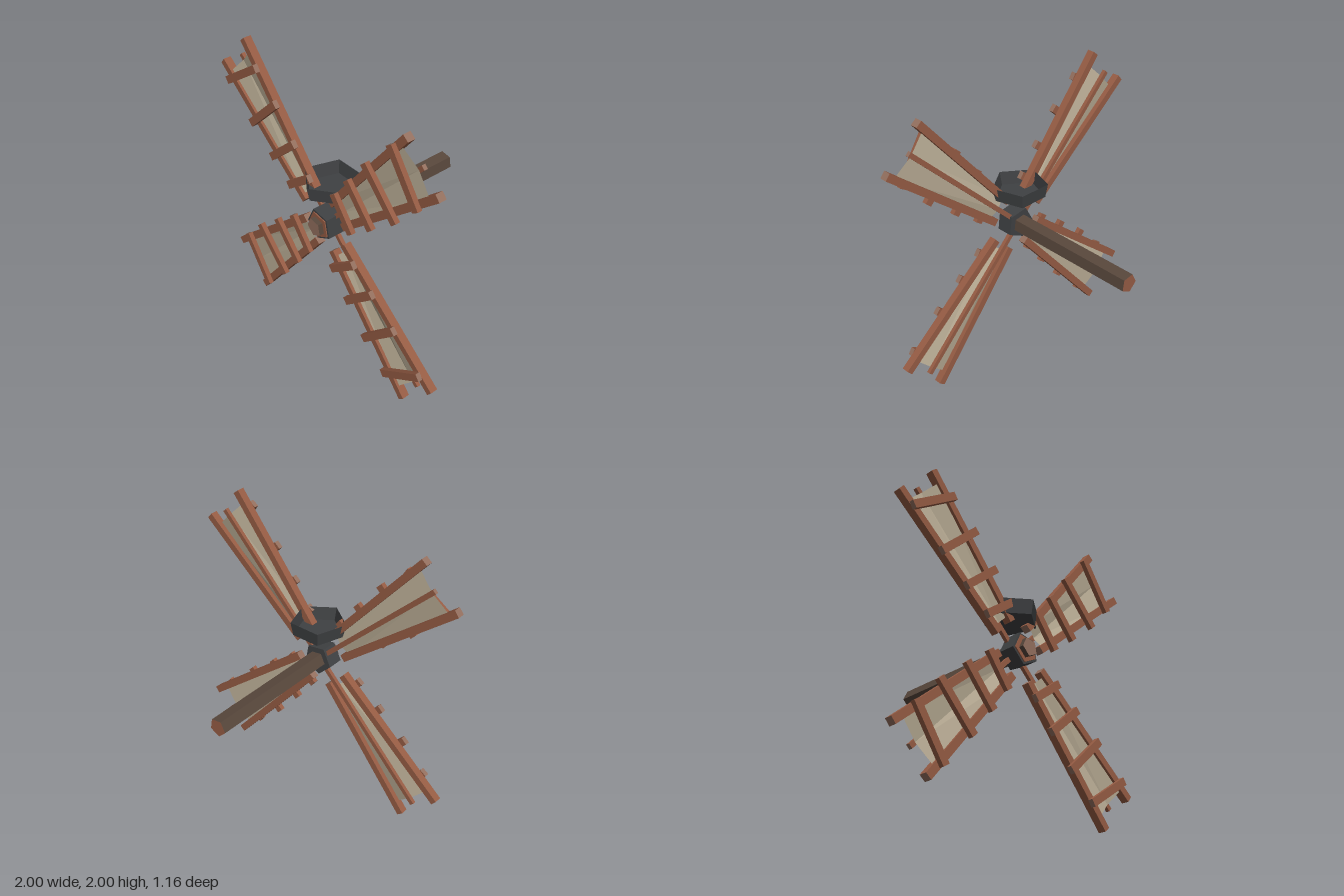
import * as THREE from 'three';

const mat = (name, color, side = THREE.FrontSide) => {
  const m = new THREE.MeshStandardMaterial({ color, side, flatShading: true });
  m.name = name;
  return m;
};

export function createModel() {
  const wood = mat('wood', 0x965c44);
  const endGrain = mat('end grain', 0x94705f);
  const darkWood = mat('dark wood', 0x58473c);
  const iron = mat('iron', 0x3f4143, THREE.DoubleSide);
  const cloth = mat('cloth', 0xbdb098, THREE.DoubleSide);

  const model = new THREE.Group();
  model.name = 'windmillSails';

  const add = (parent, name, geometry, material) => {
    const mesh = new THREE.Mesh(geometry, material);
    mesh.name = name;
    parent.add(mesh);
    return mesh;
  };

  // Straight timber between two points in the sail plane
  const plank = (parent, name, [x0, y0], [x1, y1], width, z0, z1) => {
    const length = Math.hypot(x1 - x0, y1 - y0);
    const box = new THREE.BoxGeometry(length, width, z1 - z0);
    const mesh = add(parent, name, box, [endGrain, endGrain, wood, wood, wood, wood]);
    mesh.position.set((x0 + x1) / 2, (y0 + y1) / 2, (z0 + z1) / 2);
    mesh.rotation.z = Math.atan2(y1 - y0, x1 - x0);
  };

  // Five-sided bar lying along z at the axle height
  const pentagonBar = (name, radius, z0, z1, material) => {
    const g = new THREE.CylinderGeometry(radius, radius, z1 - z0, 5, 1, false, Math.PI * 0.75);
    g.rotateX(Math.PI / 2);
    add(model, name, g, material).position.set(0, 1, (z0 + z1) / 2);
  };
  pentagonBar('axle', 0.063, -0.58, 0.545, [darkWood, endGrain, wood]);
  pentagonBar('hubRim', 0.11, 0.39, 0.505, iron);
  pentagonBar('hubFace', 0.094, 0.4, 0.512, wood);

  // Open five-sided iron bowl above the hub
  const bowl = new THREE.Group();
  bowl.name = 'bowl';
  bowl.position.set(0, 1.267, 0.394);
  model.add(bowl);
  add(bowl, 'bowlWall', new THREE.CylinderGeometry(0.19, 0.171, 0.096, 5, 1, true), iron);
  const floor = new THREE.CylinderGeometry(0.171, 0.171, 0.006, 5);
  add(bowl, 'bowlFloor', floor, iron).position.y = -0.045;

  // Cloth: two panels folded back along the central spar
  const clothGeometry = () => {
    const points = [];
    for (const [u, v] of [[0.22, 0.085], [1.13, 0.165]]) {
      points.push(u, v, 0.458, u, 0, 0.432, u, -v, 0.458);
    }
    const indexed = new THREE.BufferGeometry();
    indexed.setAttribute('position', new THREE.Float32BufferAttribute(points, 3));
    indexed.setIndex([0, 1, 4, 0, 4, 3, 1, 2, 5, 1, 5, 4]);
    const g = indexed.toNonIndexed();
    g.computeVertexNormals();
    return g;
  };

  // Crooked cross slats, from the hub outwards
  const slats = [
    [[0.275, -0.14], [0.315, 0.122]],
    [[0.5, -0.172], [0.525, 0.15]],
    [[0.762, -0.2], [0.777, 0.18]],
    [[1.011, -0.191], [1.089, 0.191]],
  ];

  // Four identical sails a quarter turn apart
  for (let i = 0; i < 4; i++) {
    const sail = new THREE.Group();
    sail.name = 'sail';
    sail.position.y = 1;
    sail.rotation.z = Math.PI / 4 + i * Math.PI / 2;
    model.add(sail);
    plank(sail, 'spar', [0.05, 0], [1.17, 0], 0.032, 0.406, 0.431);
    for (const s of [-1, 1]) {
      plank(sail, 'sideRail', [0.18, 0.08 * s], [1.213, 0.176 * s], 0.05, 0.42, 0.472);
    }
    for (const [a, b] of slats) plank(sail, 'slat', a, b, 0.052, 0.47, 0.503);
    add(sail, 'sailCloth', clothGeometry(), cloth);
  }
  return model;
}
